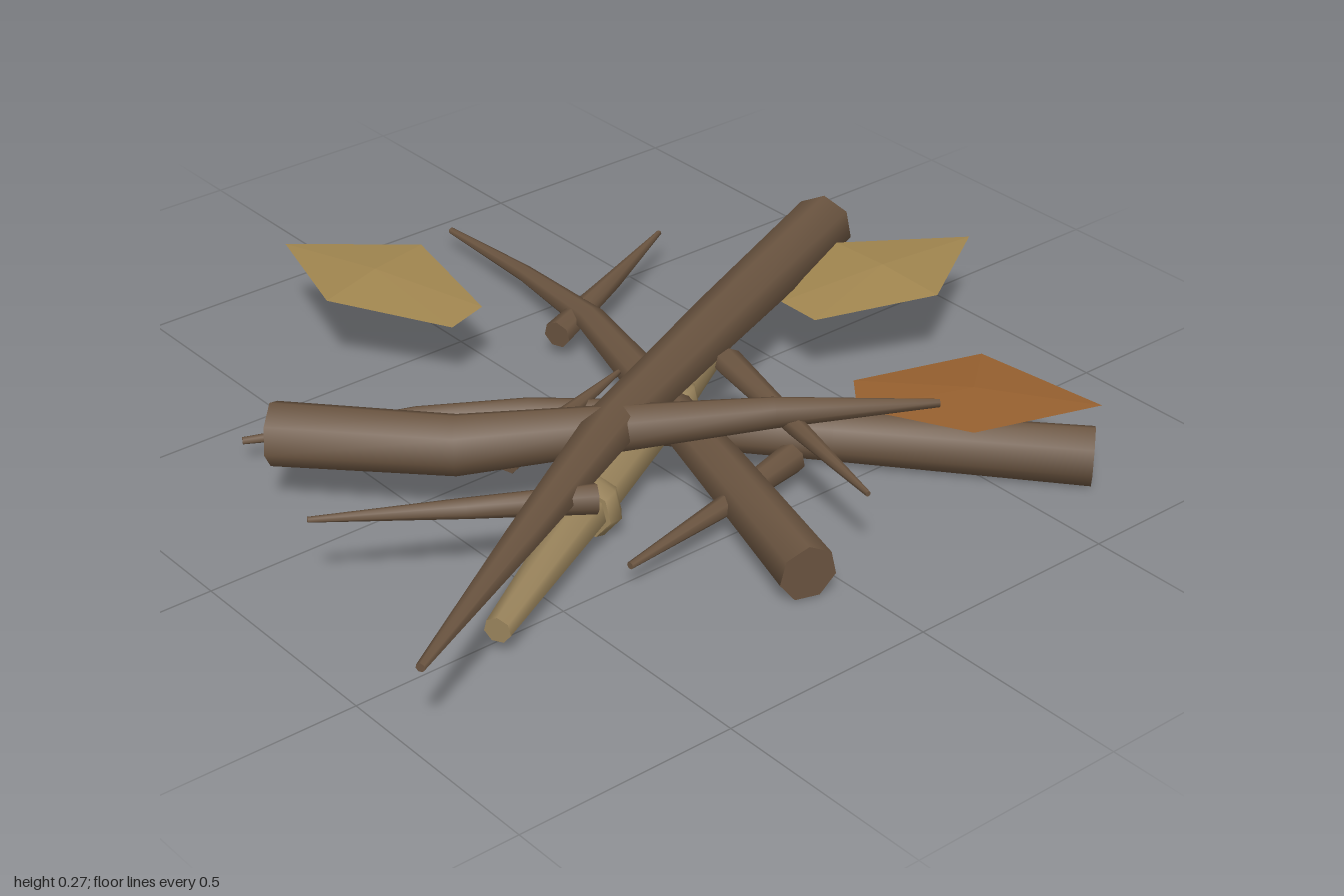
import * as THREE from 'three';

const SIDES = 7;

// Tapered stick: each station is [x, y, z, radius]; smooth sides, flat caps
function stickGeometry(stations) {
  const pts = stations.map(s => new THREE.Vector3(s[0], s[1], s[2]));
  const pos = [], idx = [], up = new THREE.Vector3(0, 1, 0);
  const rings = pts.map((p, i) => {
    const t = pts[Math.min(i + 1, pts.length - 1)].clone().sub(pts[Math.max(i - 1, 0)]).normalize();
    const u = up.clone().cross(t).normalize();
    const v = t.clone().cross(u);
    return Array.from({ length: SIDES }, (_, k) => {
      const a = (k / SIDES) * Math.PI * 2 + Math.PI / 2;
      return p.clone()
        .addScaledVector(u, Math.cos(a) * stations[i][3])
        .addScaledVector(v, Math.sin(a) * stations[i][3]);
    });
  });
  rings.forEach(r => r.forEach(p => pos.push(p.x, p.y, p.z)));
  for (let j = 0; j < rings.length - 1; j++) {
    for (let k = 0; k < SIDES; k++) {
      const a = j * SIDES + k, b = j * SIDES + (k + 1) % SIDES;
      idx.push(a, b, a + SIDES, b, b + SIDES, a + SIDES);
    }
  }
  // Caps have their own corners so that their edges stay sharp
  [rings[0], rings[rings.length - 1]].forEach((r, end) => {
    const base = pos.length / 3;
    r.forEach(p => pos.push(p.x, p.y, p.z));
    for (let k = 1; k < SIDES - 1; k++) {
      if (end) idx.push(base, base + k, base + k + 1);
      else idx.push(base, base + k + 1, base + k);
    }
  });
  const g = new THREE.BufferGeometry();
  g.setAttribute('position', new THREE.Float32BufferAttribute(pos, 3));
  g.setIndex(idx);
  g.computeVertexNormals();
  return g;
}

// Faceted leaf: an outline fanned around a slightly raised centre
function leafGeometry(centre, outline) {
  const pos = [];
  outline.forEach((p, i) => pos.push(...centre, ...p, ...outline[(i + 1) % outline.length]));
  const g = new THREE.BufferGeometry();
  g.setAttribute('position', new THREE.Float32BufferAttribute(pos, 3));
  g.computeVertexNormals();
  return g;
}

export function createModel() {
  const group = new THREE.Group();
  const material = (name, color, extra = {}) => {
    const m = new THREE.MeshStandardMaterial({ color, ...extra });
    m.name = name;
    return m;
  };
  const bark = material('bark', 0x6a5440);
  const paleWood = material('pale wood', 0x9a845c);
  const leafOpts = { side: THREE.DoubleSide, flatShading: true };
  const dryLeaf = material('dry leaf', 0xa0854f, leafOpts);
  const rustLeaf = material('rust leaf', 0x96602f, leafOpts);

  const add = (name, geometry, mat) => {
    const mesh = new THREE.Mesh(geometry, mat);
    mesh.name = name;
    group.add(mesh);
  };

  // Main branches and their side twigs
  const branches = {
    upperLongBranch: [[0.78, 0.203, -0.14, 0.073], [0.3, 0.215, 0.065, 0.065], [-0.2, 0.215, 0.275, 0.055],
      [-0.6, 0.21, 0.49, 0.034], [-0.99, 0.205, 0.7, 0.01]],
    upperBentBranch: [[-0.715, 0.185, -0.19, 0.07], [-0.46, 0.195, 0.1, 0.066], [-0.2, 0.21, 0.265, 0.052],
      [0.1, 0.22, 0.445, 0.034], [0.385, 0.225, 0.64, 0.009]],
    lowerDiagonalBranch: [[0.665, 0.078, 0.825, 0.066], [0.3, 0.08, 0.42, 0.058], [0.03, 0.08, 0.13, 0.05],
      [-0.15, 0.078, -0.06, 0.038], [-0.35, 0.085, -0.19, 0.025], [-0.68, 0.07, -0.365, 0.008]],
    lowerCurvedBranch: [[-0.1, 0.075, 0.775, 0.063], [0.02, 0.08, 0.38, 0.056], [0.12, 0.085, 0.03, 0.046],
      [0.205, 0.09, -0.28, 0.034], [0.245, 0.075, -0.58, 0.02], [0.255, 0.065, -0.875, 0.008]],
    leftTwig: [[-0.37, 0.197, 0.445, 0.032], [-0.6, 0.205, 0.32, 0.022], [-0.87, 0.21, 0.165, 0.006]],
    frontTwig: [[0.17, 0.075, 0.43, 0.034], [-0.08, 0.075, 0.485, 0.022], [-0.35, 0.07, 0.525, 0.008]],
    upperFrontTwig: [[0.19, 0.2, 0.2, 0.032], [0.125, 0.195, 0.48, 0.022], [0.065, 0.19, 0.765, 0.006]],
    backTwig: [[0.125, 0.07, -0.305, 0.033], [0.35, 0.09, -0.39, 0.022], [0.59, 0.1, -0.5, 0.006]],
    crossTwig: [[-0.33, 0.105, 0.1, 0.03], [-0.13, 0.115, 0.045, 0.02], [0.07, 0.12, -0.02, 0.006]],
    innerTwig: [[-0.02, 0.08, 0.14, 0.032], [-0.17, 0.08, -0.04, 0.022], [-0.31, 0.07, -0.19, 0.007]],
  };
  for (const [name, stations] of Object.entries(branches)) add(name, stickGeometry(stations), bark);

  // Pale stick, thickest in the middle, with two knots
  const along = (t, r) => [-0.69 + 1.175 * t, 0.068 + 0.012 * Math.sin(Math.PI * t), 0.535 - 0.645 * t, r];
  add('paleStick', stickGeometry([along(0, 0.029), along(0.33, 0.05), along(0.67, 0.052), along(1, 0.03)]), paleWood);
  for (const t of [0.35, 0.69]) {
    add('paleStickKnot', stickGeometry([along(t - 0.022, 0.06), along(t, 0.073), along(t + 0.022, 0.06)]), paleWood);
  }

  // Fallen leaves
  add('backLeaf', leafGeometry([-0.17, 0.222, -0.585],
    [[-0.24, 0.205, -0.84], [-0.33, 0.212, -0.545], [-0.155, 0.18, -0.32], [-0.05, 0.183, -0.35], [-0.01, 0.212, -0.63]]), dryLeaf);
  add('sideLeaf', leafGeometry([0.72, 0.225, 0.12],
    [[0.995, 0.205, 0.12], [0.73, 0.212, -0.04], [0.47, 0.19, 0.06], [0.47, 0.19, 0.17], [0.73, 0.212, 0.285]]), dryLeaf);
  add('frontLeaf', leafGeometry([0.49, 0.222, 0.635],
    [[0.66, 0.208, 0.84], [0.62, 0.21, 0.53], [0.36, 0.185, 0.41], [0.285, 0.185, 0.5], [0.37, 0.212, 0.755]]), rustLeaf);

  return group;
}
